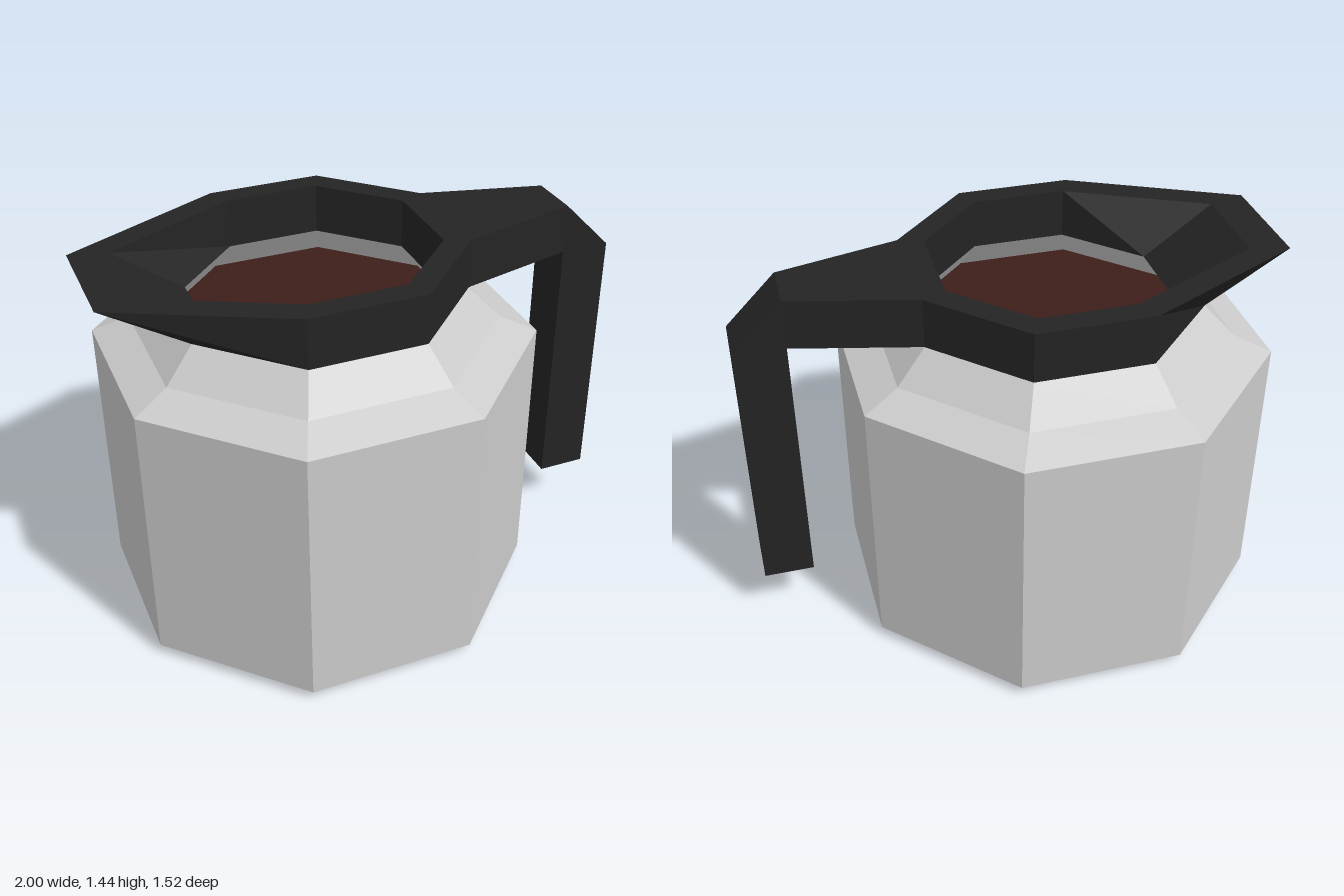
import * as THREE from 'three';

const CX = -0.17; // axis of the jug
const SIDES = 8;
const toCorner = 1 / Math.cos(Math.PI / SIDES); // apothem to corner radius

const material = (color) => new THREE.MeshStandardMaterial({ color, flatShading: true });

// Octagon of corner points; spoutX moves the two -x corners out to form a spout
function octagon(apothem, y, spoutX) {
  return Array.from({ length: SIDES }, (_, k) => {
    const a = ((k + 0.5) * 2 * Math.PI) / SIDES;
    const isSpout = spoutX !== undefined && Math.cos(a) < -0.9;
    const x = isSpout ? spoutX : CX + apothem * toCorner * Math.cos(a);
    return [x, y, apothem * toCorner * Math.sin(a)];
  });
}

// Skin over consecutive closed loops of equal length
function loft(loops) {
  const pos = [];
  for (let i = 0; i < loops.length - 1; i++) {
    const p = loops[i], q = loops[i + 1], n = p.length;
    for (let k = 0; k < n; k++) {
      const m = (k + 1) % n;
      pos.push(...q[k], ...p[k], ...p[m], ...q[k], ...p[m], ...q[m]);
    }
  }
  const g = new THREE.BufferGeometry();
  g.setAttribute('position', new THREE.Float32BufferAttribute(pos, 3));
  g.computeVertexNormals();
  return g;
}

export function createModel() {
  const model = new THREE.Group();
  const add = (name, geometry, mat) => {
    const mesh = new THREE.Mesh(geometry, mat);
    mesh.name = name;
    model.add(mesh);
    return mesh;
  };
  const black = material(0x242424);

  // Jug body: bevelled base, straight wall, shoulder, neck and inner lip
  const profile = [
    [0, 0], [0.51, 0], [0.76, 0.04], [0.76, 1.07], [0.63, 1.13],
    [0.52, 1.25], [0.43, 1.25], [0.52, 1.13],
  ].map(([a, y]) => new THREE.Vector2(a * toCorner, y));
  const body = add('body', new THREE.LatheGeometry(profile, SIDES, Math.PI / SIDES), material(0xcccccc));
  body.position.x = CX;

  // Coffee surface
  const coffee = new THREE.CircleGeometry(0.52 * toCorner, SIDES, Math.PI / SIDES);
  coffee.rotateX(-Math.PI / 2);
  add('coffee', coffee, material(0x3e1d19)).position.set(CX, 1.13, 0);

  // Collar with a pouring spout towards -x
  const innerBottom = octagon(0.43, 1.25);
  add('collar', loft([
    innerBottom,
    octagon(0.43, 1.44, -0.86),
    octagon(0.52, 1.44, -1),
    octagon(0.52, 1.25),
    innerBottom,
  ]), black);

  // Handle: tapers out from the collar, bends and drops down
  const section = (topX, topY, lowX, lowY, w) => [
    [topX, topY, -w], [topX, topY, w], [lowX, lowY, w], [lowX, lowY, -w],
  ];
  add('handle', loft([
    section(0.35, 1.44, 0.35, 1.25, 0.215),
    section(0.81, 1.44, 0.81, 1.25, 0.1),
    section(1, 1.25, 0.81, 1.25, 0.1),
    section(1, 0.22, 0.81, 0.22, 0.1),
    section(0.905, 0.22, 0.905, 0.22, 0),
  ]), black);

  return model;
}
